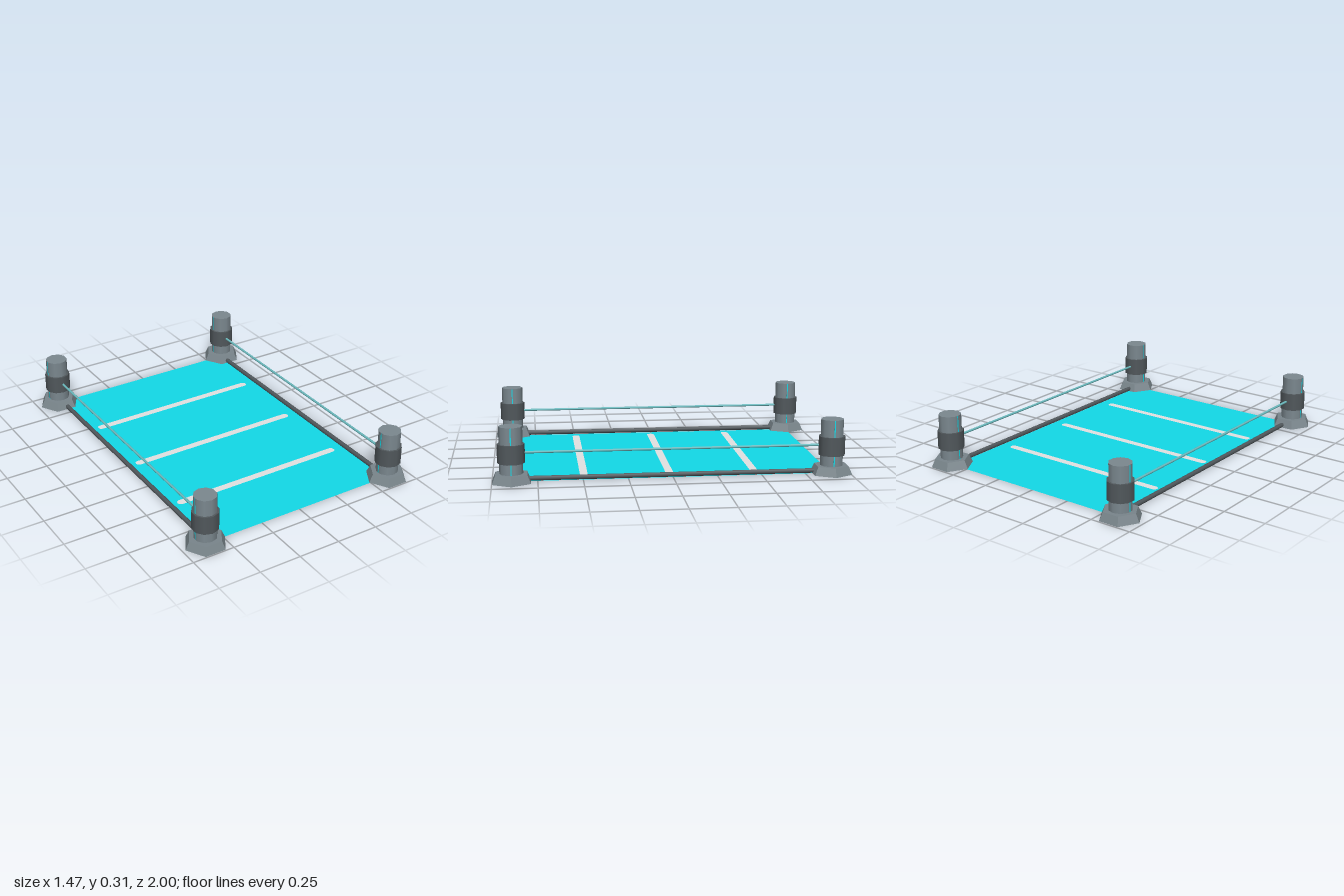
import * as THREE from 'three';

const mat = (name, color, extra = {}) => {
  const m = new THREE.MeshStandardMaterial({ color, ...extra });
  m.name = name;
  return m;
};

export function createModel() {
  const model = new THREE.Group();
  model.name = 'barrierPad';
  const metal = mat('greyMetal', 0x7b888f);
  const baseMetal = mat('baseMetal', 0x79858b, { flatShading: true });
  const dark = mat('darkMetal', 0x51585c);
  const teal = mat('teal', 0x12dae8, { side: THREE.DoubleSide });
  const cableMat = mat('cableTeal', 0x6cbcc0);
  const white = mat('paleGrey', 0xe2e2e2, { side: THREE.DoubleSide });

  const add = (parent, name, geometry, material, x, y, z) => {
    const mesh = new THREE.Mesh(geometry, material);
    mesh.name = name;
    mesh.position.set(x, y, z);
    parent.add(mesh);
  };

  // flat floor sheet
  add(model, 'deck', new THREE.PlaneGeometry(1.2, 1.79).rotateX(-Math.PI / 2), teal, 0, 0.002, 0);

  // round-ended stripes on both faces of the sheet
  const r = 0.022, half = 0.52;
  const shape = new THREE.Shape();
  shape.absarc(half, 0, r, -Math.PI / 2, Math.PI / 2, false);
  shape.absarc(-half, 0, r, Math.PI / 2, Math.PI * 1.5, false);
  const stripe = new THREE.ShapeGeometry(shape, 4).rotateX(-Math.PI / 2);
  for (const z of [-0.473, 0.01, 0.492]) {
    add(model, 'stripeTop', stripe, white, -0.005, 0.004, z);
    add(model, 'stripeUnderside', stripe, white, -0.005, 0, z);
  }

  // corner post parts
  const baseGeo = new THREE.CylinderGeometry(0.1, 0.122, 0.048, 6).rotateY(Math.PI / 6);
  const columnGeo = new THREE.CylinderGeometry(0.065, 0.065, 0.265, 10);
  const collarGeo = new THREE.CylinderGeometry(0.076, 0.076, 0.106, 10);
  const lightGeo = new THREE.BoxGeometry(0.126, 0.262, 0.006);

  // long side parts
  const railGeo = new THREE.CylinderGeometry(0.0135, 0.0135, 1.7, 8).rotateX(Math.PI / 2);
  const cableGeo = new THREE.CylinderGeometry(0.007, 0.007, 1.7, 8).rotateX(Math.PI / 2);

  for (const sx of [-1, 1]) {
    add(model, 'sideRail', railGeo, dark, sx * 0.6, 0.018, 0);
    add(model, 'cable', cableGeo, cableMat, sx * 0.609, 0.167, 0);

    for (const sz of [-1, 1]) {
      const post = new THREE.Group();
      post.name = 'cornerPost';
      post.position.set(sx * 0.612, 0, sz * 0.893);
      add(post, 'base', baseGeo, baseMetal, 0, 0.028, 0);
      add(post, 'column', columnGeo, metal, 0, 0.1825, 0);
      add(post, 'collar', collarGeo, dark, 0, 0.165, 0);
      add(post, 'lightStrip', lightGeo, teal, 0, 0.182, 0);
      model.add(post);
    }
  }
  return model;
}
